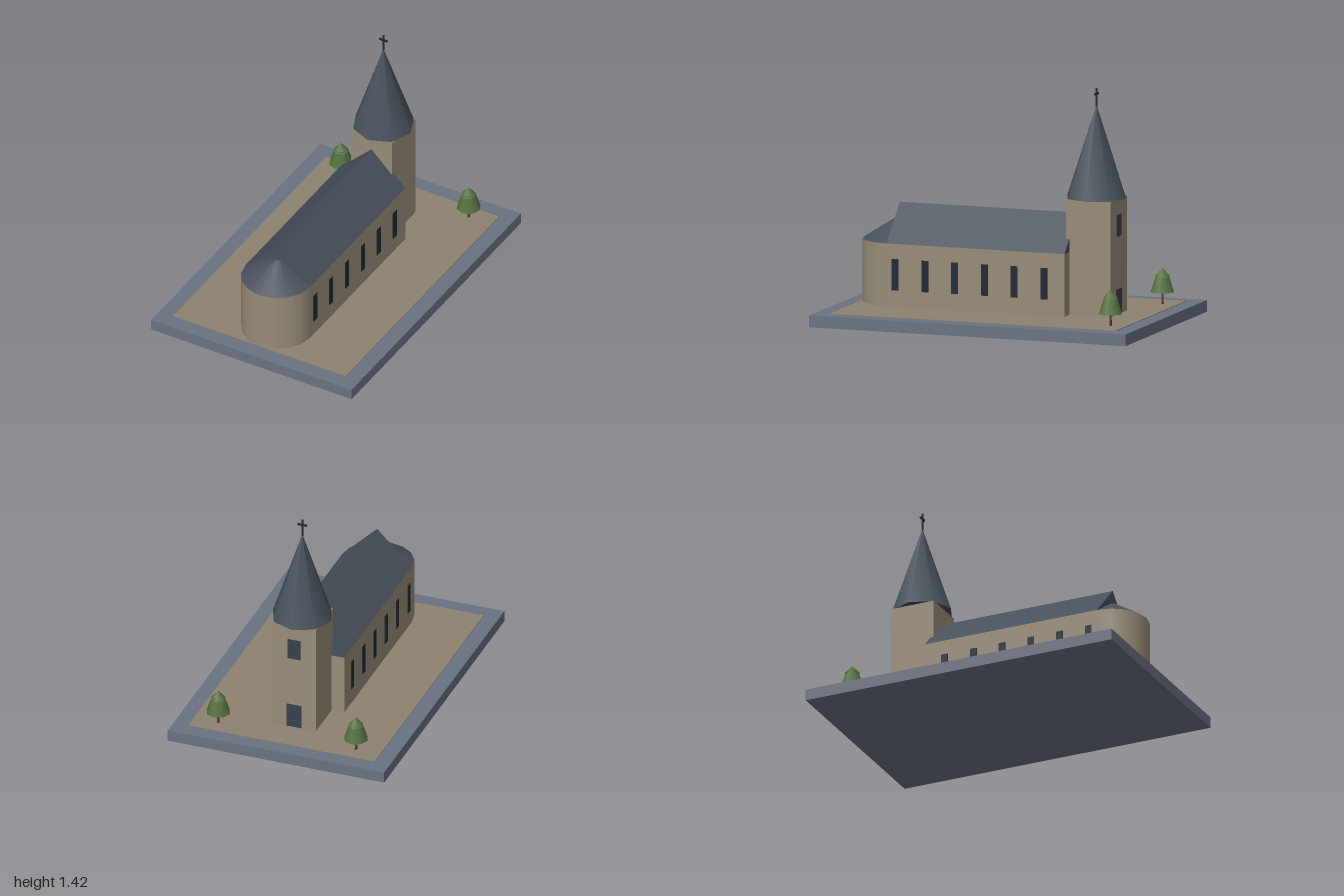
import * as THREE from 'three';

const mat = (color, extra = {}) => {
  const m = new THREE.MeshStandardMaterial(extra);
  m.color.set(color);
  return m;
};

export function createModel() {
  const model = new THREE.Group();
  const stone = mat(0x6b7280), paving = mat(0x8c8270), wall = mat(0x978c79);
  const slate = mat(0x48505a), glass = mat(0x1e2936), door = mat(0x3a414b);
  const iron = mat(0x24282d), bark = mat(0x5c3d26), leaf = mat(0x55703f);

  const add = (name, geo, material, x, y, z, parent = model) => {
    const mesh = new THREE.Mesh(geo, material);
    mesh.name = name;
    mesh.position.set(x, y, z);
    parent.add(mesh);
    return mesh;
  };
  // box given by its centre in x and z and its bottom and top
  const box = (name, w, y0, y1, d, material, x, z, parent) =>
    add(name, new THREE.BoxGeometry(w, y1 - y0, d), material, x, (y0 + y1) / 2, z, parent);

  // plinth and courtyard
  box('plinth', 1.37, 0, 0.07, 2, stone, 0, 0);
  box('courtyard', 1.18, 0.06, 0.074, 1.81, paving, 0, 0);

  // nave with gabled roof
  const naveBack = -0.44, naveFront = 0.685, length = naveFront - naveBack;
  box('nave', 0.44, 0.07, 0.45, length, wall, 0, (naveBack + naveFront) / 2);
  const gable = new THREE.Shape([
    new THREE.Vector2(-0.22, 0), new THREE.Vector2(0.22, 0), new THREE.Vector2(0, 0.217),
  ]);
  add('naveRoof', new THREE.ExtrudeGeometry(gable, { depth: length, bevelEnabled: false }),
    slate, 0, 0.45, naveBack);

  // tall windows along both sides
  for (const side of [-1, 1]) {
    for (let i = 0; i < 6; i++) {
      box('naveWindow', 0.01, 0.172, 0.36, 0.043, glass, side * 0.219, 0.63 - i * 0.188);
    }
  }

  // rounded apse at the front with its half-cone roof
  add('apse', new THREE.CylinderGeometry(0.22, 0.22, 0.38, 8, 1, false, -Math.PI / 2, Math.PI),
    wall, 0, 0.26, naveFront);
  add('apseRoof', new THREE.CylinderGeometry(0.02, 0.22, 0.127, 8, 1, false, -Math.PI / 2, Math.PI),
    slate, 0, 0.5135, naveFront);

  // tower with entrance, belfry window, spire and cross
  const tower = new THREE.Group();
  tower.name = 'tower';
  tower.position.z = -0.56;
  model.add(tower);
  box('towerWalls', 0.28, 0.07, 0.765, 0.28, wall, 0, 0, tower);
  box('towerDoor', 0.095, 0.07, 0.225, 0.01, door, 0, -0.138, tower);
  box('belfryWindow', 0.08, 0.54, 0.67, 0.01, door, 0, -0.138, tower);
  add('spire', new THREE.ConeGeometry(0.186, 0.555, 8), slate, 0, 1.0425, 0, tower);
  box('crossUpright', 0.01, 1.31, 1.42, 0.008, iron, 0, 0, tower);
  box('crossBar', 0.058, 1.379, 1.391, 0.008, iron, 0, 0, tower);

  // trees in the back corners
  for (const side of [-1, 1]) {
    const tree = new THREE.Group();
    tree.name = 'tree';
    tree.position.set(side * 0.436, 0, -0.813);
    model.add(tree);
    add('trunk', new THREE.CylinderGeometry(0.006, 0.008, 0.09, 6), bark, 0, 0.113, 0, tree);
    add('lowerFoliage', new THREE.CylinderGeometry(0.039, 0.073, 0.103, 8), leaf, 0, 0.1985, 0, tree);
    add('upperFoliage', new THREE.ConeGeometry(0.046, 0.052, 8), leaf, 0, 0.266, 0, tree);
  }
  return model;
}
